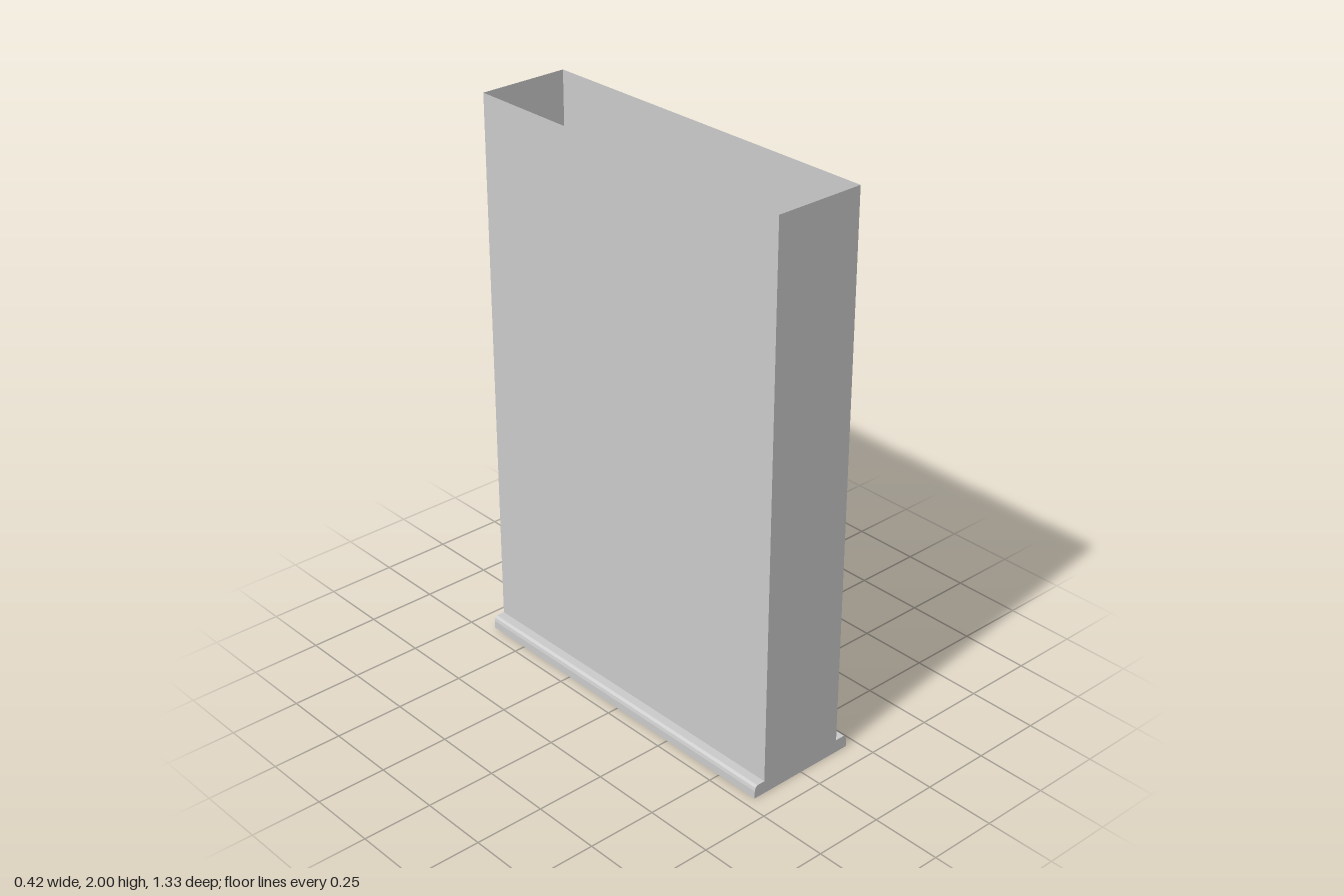
import * as THREE from 'three';

const X0 = -0.167, X1 = 0.161;   // wall planes
const HALF_Z = 0.666, HEIGHT = 2, FOOT_X = 0.209, FOOT_H = 0.047;

export function createModel() {
  const group = new THREE.Group();
  const material = new THREE.MeshStandardMaterial({ color: 0xcccccc, side: THREE.DoubleSide, flatShading: true });

  // Thin sleeve walls, open at the top and bottom
  const addWall = (name, width, x, z, turn) => {
    const wall = new THREE.Mesh(new THREE.PlaneGeometry(width, HEIGHT), material);
    wall.name = name;
    wall.position.set(x, HEIGHT / 2, z);
    wall.rotation.y = turn;
    group.add(wall);
  };
  const midX = (X0 + X1) / 2;
  addWall('frontWall', X1 - X0, midX, HALF_Z, 0);
  addWall('backWall', X1 - X0, midX, -HALF_Z, Math.PI);
  addWall('leftWall', HALF_Z * 2, X1, 0, Math.PI / 2);
  addWall('rightWall', HALF_Z * 2, X0, 0, -Math.PI / 2);

  // Foot rails with an eased upper edge, running along both long sides
  const addRail = (name, inner, side) => {
    const shape = new THREE.Shape();
    shape.moveTo(inner, 0);
    shape.lineTo(side * FOOT_X, 0);
    shape.lineTo(side * FOOT_X, 0.028);
    shape.lineTo(side * (FOOT_X - 0.003), 0.04);
    shape.lineTo(side * (FOOT_X - 0.011), FOOT_H);
    shape.lineTo(inner, FOOT_H);
    shape.closePath();
    const geometry = new THREE.ExtrudeGeometry(shape, { depth: HALF_Z * 2, bevelEnabled: false });
    geometry.translate(0, 0, -HALF_Z);
    const rail = new THREE.Mesh(geometry, material);
    rail.name = name;
    group.add(rail);
  };
  addRail('leftFootRail', X1, 1);
  addRail('rightFootRail', X0, -1);

  return group;
}
